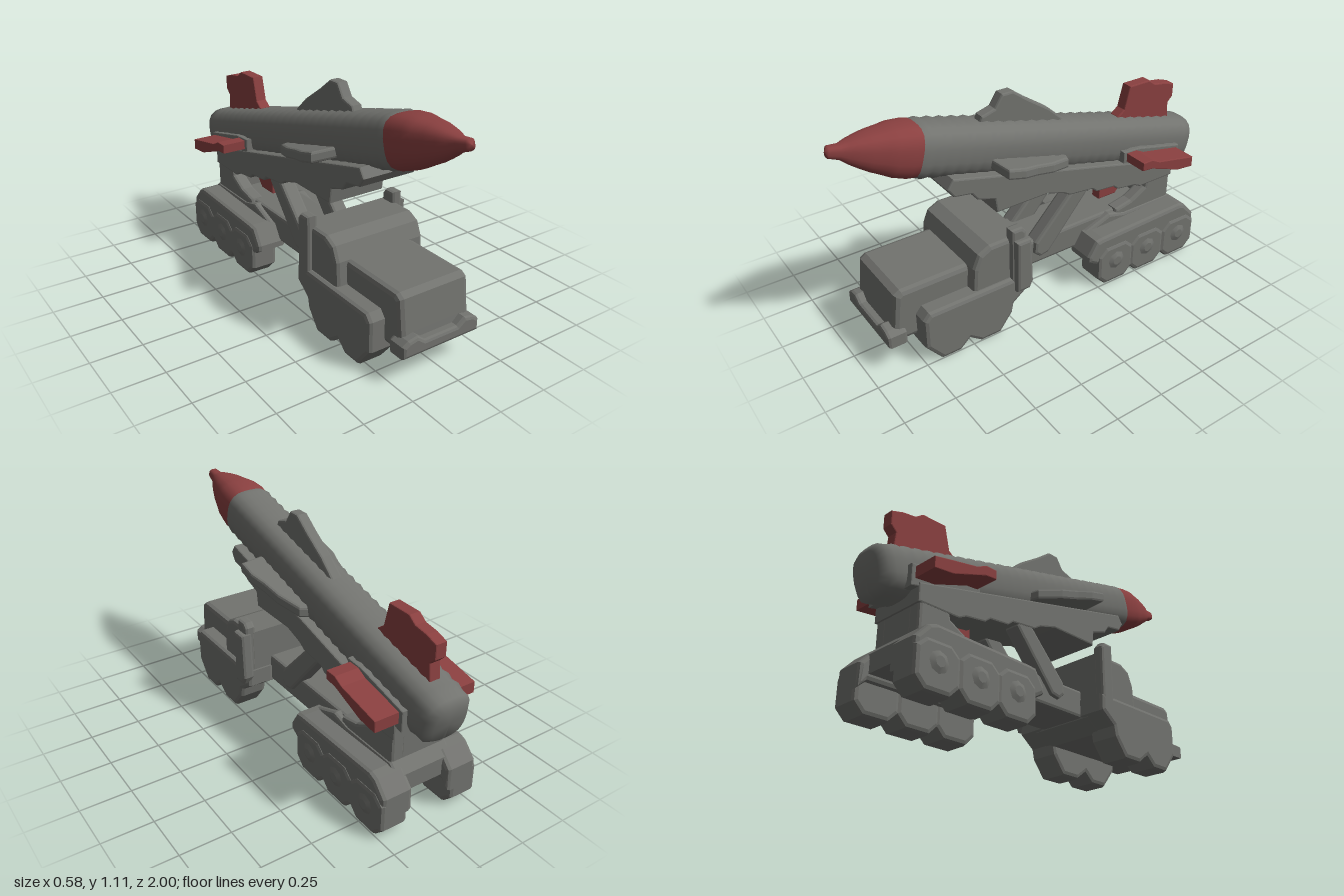
import * as THREE from 'three';

const grey = new THREE.MeshStandardMaterial({ color: 0x72736f });
grey.name = 'body grey';
const red = new THREE.MeshStandardMaterial({ color: 0x8a4040 });
red.name = 'warhead red';

// Missile axis in the z-y plane
const SLOPE = 0.26, TILT = Math.atan(SLOPE), TAIL_Z = -0.985, TAIL_Y = 0.555;
const axisY = (z) => TAIL_Y + (z - TAIL_Z) * SLOPE;

export function createModel() {
  const root = new THREE.Group();
  const model = new THREE.Group();
  model.name = 'missileTruck';
  model.position.x = -0.017;
  root.add(model);

  const add = (name, geo, mat = grey) => {
    const m = new THREE.Mesh(geo, mat);
    m.name = name;
    model.add(m);
    return m;
  };
  const toShape = (pts) => new THREE.Shape(pts.map((p) => new THREE.Vector2(p[0], p[1])));
  const extrude = (pts, depth, b) => new THREE.ExtrudeGeometry(toShape(pts), {
    depth: depth - 2 * b, bevelEnabled: b > 0, bevelThickness: b, bevelSize: b, bevelOffset: -b, bevelSegments: 2,
  }).translate(0, 0, b);

  // Side profile of [z, y] points, extruded from x0 to x1
  const side = (name, pts, x0, x1, mat = grey, b = 0.015) =>
    add(name, extrude(pts, x1 - x0, b).rotateY(-Math.PI / 2).translate(x1, 0, 0), mat);
  const pair = (name, pts, x0, x1, mat, b) => {
    side(name + 'Left', pts, x0, x1, mat, b);
    side(name + 'Right', pts, -x1, -x0, mat, b);
  };
  const rect = (z0, z1, y0, y1) => [[z0, y0], [z1, y0], [z1, y1], [z0, y1]];

  // Rounded-square, slightly rippled body of revolution along the missile axis
  const missilePart = (name, profile, mat) => {
    const g = new THREE.LatheGeometry(profile.map(([r, t]) => new THREE.Vector2(r, t)), 24);
    const p = g.attributes.position;
    for (let i = 0; i < p.count; i++) {
      const x = p.getX(i), z = p.getZ(i), r = Math.hypot(x, z);
      if (r < 1e-5) continue;
      const c = Math.abs(x / r), s = Math.abs(z / r);
      const k = Math.pow(c ** 3 + s ** 3, -1 / 3);
      p.setX(i, x * k);
      p.setZ(i, z * k);
    }
    g.computeVertexNormals();
    g.rotateX(Math.PI / 2 - TILT).translate(0, TAIL_Y, TAIL_Z);
    add(name, g, mat);
  };
  const body = [[0, 0], [0.085, 0.0], [0.118, 0.03]];
  for (let i = 0; i <= 50; i++) body.push([0.122 + (i % 2 ? 0.004 : -0.003), 0.07 + (i / 50) * 1.585]);
  missilePart('missileBody', body, grey);
  missilePart('missileNose', [[0.119, 1.655], [0.121, 1.69], [0.112, 1.76], [0.1, 1.8], [0.084, 1.86],
    [0.066, 1.91], [0.05, 1.95], [0.032, 1.985], [0.025, 2.035], [0, 2.045]], red);

  // Fins and dorsal ridge
  side('dorsalFin', [[0.29, 0.98], [0.27, 1.03], [0.2, 1.05], [0.16, 1.11], [0.1, 1.11], [0.02, 1.05],
    [-0.1, 0.97], [-0.2, 0.88], [-0.2, 0.84]], -0.03, 0.03, grey, 0.01);
  side('topTailFin', [[-0.53, 0.77], [-0.53, 0.8], [-0.57, 0.83], [-0.6, 0.95], [-0.73, 0.95], [-0.77, 0.92],
    [-0.84, 0.91], [-0.9, 0.89], [-0.9, 0.82], [-0.87, 0.79], [-0.88, 0.69]], -0.03, 0.03, red, 0.006);
  side('bottomTailFin', [[-0.43, 0.5], [-0.43, 0.35], [-0.54, 0.35], [-0.6, 0.42], [-0.62, 0.46]],
    -0.03, 0.03, red, 0.006);
  const finProfile = [[-0.5, 0.655], [-0.56, 0.655], [-0.61, 0.63], [-0.74, 0.605], [-0.84, 0.585], [-0.84, 0.53],
    [-0.74, 0.54], [-0.56, 0.605], [-0.5, 0.61]];
  pair('sideTailFin', finProfile, 0.14, 0.273, red, 0.004);
  pair('sideTailFinRoot', [[-0.48, 0.665], [-0.58, 0.66], [-0.86, 0.595], [-0.86, 0.49], [-0.48, 0.58]],
    0.09, 0.148, grey, 0.006);

  // Mid wings: plan outline of [x, z], tilted with the missile
  for (const s of [1, -1]) {
    const plan = [[0.08, -0.15], [0.16, -0.12], [0.205, 0.0], [0.22, 0.1], [0.242, 0.18], [0.242, 0.27], [0.08, 0.29]];
    const pts = plan.map(([x, z]) => [x * s, z]);
    const g = extrude(pts, 0.055, 0.012).rotateX(Math.PI / 2);
    const p = g.attributes.position;
    for (let i = 0; i < p.count; i++) p.setY(i, p.getY(i) + axisY(p.getZ(i)) - 0.022);
    g.computeVertexNormals();
    add(s > 0 ? 'wingLeft' : 'wingRight', g);
  }

  // Launch rail with stepped underside
  side('launchRail', [[-0.82, 0.52], [0.5, 0.845], [0.53, 0.8], [0.5, 0.755], [0.41, 0.74], [0.38, 0.7],
    [0.29, 0.67], [0.28, 0.595], [0, 0.595], [-0.1, 0.565], [-0.14, 0.54], [-0.28, 0.525], [-0.31, 0.5],
    [-0.42, 0.49], [-0.45, 0.465], [-0.56, 0.45], [-0.6, 0.43], [-0.82, 0.43]].reverse(), -0.153, 0.153, grey, 0.008);

  // Hydraulic struts and rear pivot
  pair('liftStrut', [[0.065, 0.27], [0.03, 0.24], [-0.02, 0.25], [-0.25, 0.52], [-0.25, 0.6], [-0.13, 0.6],
    [-0.15, 0.55], [0.06, 0.33]], 0.065, 0.15);
  pair('pivotPlate', [[-0.43, 0.28], [-0.45, 0.34], [-0.55, 0.36], [-0.64, 0.41], [-0.66, 0.5], [-0.81, 0.5],
    [-0.81, 0.28]], 0.075, 0.15);
  side('pivotBlock', rect(-0.81, -0.68, 0.28, 0.52), -0.1, 0.1);

  // Chassis and rear deck
  side('chassisFrame', rect(-0.5, 0.25, 0.195, 0.335), -0.13, 0.13);
  pair('rearFender', [[-0.19, 0.2], [-0.24, 0.28], [-0.28, 0.285], [-0.8, 0.3], [-0.84, 0.285], [-0.905, 0.215],
    [-0.905, 0.1], [-0.86, 0.14], [-0.24, 0.14], [-0.19, 0.17]], 0.1, 0.262, grey, 0.02);
  side('rearDeck', [[-0.2, 0.2], [-0.25, 0.28], [-0.4, 0.335], [-0.5, 0.31], [-0.81, 0.31], [-0.86, 0.26],
    [-0.86, 0.17], [-0.25, 0.17]], -0.16, 0.16);

  // Rear wheels with chamfered outlines, and hubs
  for (const s of [1, -1]) {
    for (const z of [-0.362, -0.572, -0.79]) {
      const wheel = [[-0.065, 0], [0.065, 0], [0.115, 0.05], [0.115, 0.18], [0.065, 0.225], [-0.065, 0.225],
        [-0.115, 0.18], [-0.115, 0.05]].map(([dz, y]) => [z + dz, y]);
      const x0 = s > 0 ? 0.122 : -0.27;
      side('rearWheel', wheel, x0, x0 + 0.148, grey, 0.02);
      const hub = add('rearHub', new THREE.CylinderGeometry(0.025, 0.055, 0.012, 8).rotateZ(-s * Math.PI / 2));
      hub.position.set(s * 0.274, 0.13, z);
    }
  }

  // Front fenders merging with the front wheels
  pair('frontFender', [[0.75, 0.1], [0.75, 0.25], [0.72, 0.285], [0.19, 0.285], [0.19, 0.2], [0.27, 0.14],
    [0.28, 0.09], [0.35, 0], [0.46, 0], [0.52, 0.045], [0.57, 0], [0.67, 0]], 0.122, 0.273, grey, 0.02);
  // Cab, hood and windshield
  side('cab', [[0.48, 0.25], [0.47, 0.4], [0.44, 0.47], [0.38, 0.5], [0.2, 0.5], [0.2, 0.25]],
    -0.247, 0.247, grey, 0.02);
  side('hood', [[0.87, 0.13], [0.86, 0.22], [0.84, 0.38], [0.81, 0.4], [0.4, 0.4], [0.2, 0.3], [0.2, 0.19],
    [0.28, 0.13]], -0.19, 0.19, grey, 0.025);
  pair('exhaustPost', [[0.2, 0.22], [0.2, 0.53], [0.22, 0.555], [0.28, 0.555], [0.28, 0.22]], 0.215, 0.273);
  side('sideBox', [[0.18, 0.26], [0.2, 0.22], [0.27, 0.22], [0.27, 0.5], [0.19, 0.5]], 0.24, 0.303);

  // Front bumper with raised ends
  const bumper = [[-0.21, 0.13], [0.21, 0.13], [0.21, 0.19], [0.18, 0.21], [0.13, 0.22], [0.09, 0.19], [-0.09, 0.19],
    [-0.13, 0.22], [-0.18, 0.21], [-0.21, 0.19]];
  add('frontBumper', extrude(bumper, 0.1, 0.015).translate(0, 0, 0.805));

  return root;
}
